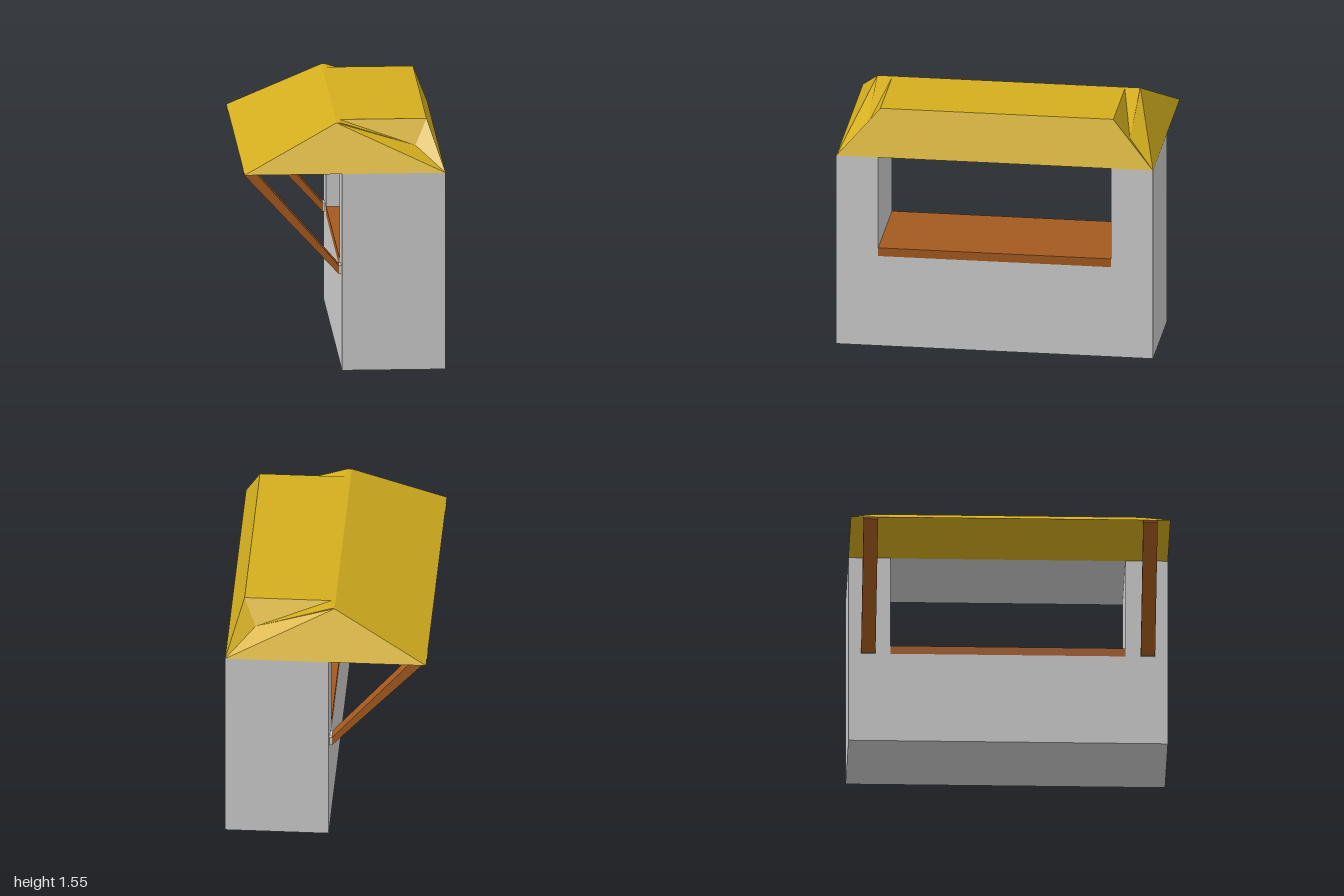
import * as THREE from 'three';

const mat = (color) => new THREE.MeshStandardMaterial({ color, flatShading: true });
const grey = mat(0xcccccc), gold = mat(0xd4ae1e), wood = mat(0xa3591e);

const BACK = -0.02, FRONT = 0.63, EAVE = 1.26, TOP = 1.55;
const SILL = 0.6, COUNTER = 0.655, OPEN = 0.735;

function add(group, name, geometry, material) {
  const mesh = new THREE.Mesh(geometry, material);
  mesh.name = name;
  group.add(mesh);
  return mesh;
}

function box(x0, x1, y0, y1, z0, z1) {
  return new THREE.BoxGeometry(x1 - x0, y1 - y0, z1 - z0)
    .translate((x0 + x1) / 2, (y0 + y1) / 2, (z0 + z1) / 2);
}

function prism(points, depth) {
  const shape = new THREE.Shape(points.map(([x, y]) => new THREE.Vector2(x, y)));
  return new THREE.ExtrudeGeometry(shape, { depth, bevelEnabled: false });
}

// Roof: one half as convex faces, mirrored across z = 0
function roofGeometry() {
  const eave = [-0.63, EAVE, 1], corner = [FRONT, EAVE, 1];
  const ridge = [-0.045, TOP, 0.83], notch = [BACK, TOP, 0.83];
  const inner = [BACK, TOP, OPEN], peak = [0.525, TOP, OPEN];
  const dip = [0.45, 1.4, 0.83], lip = [FRONT, EAVE, OPEN];
  const mid = ([x, y]) => [x, y, 0];
  const faces = [
    [mid(eave), eave, ridge, mid(ridge)],         // long slope
    [mid(ridge), ridge, notch, inner, mid(inner)], // flat top
    [mid(inner), inner, peak, mid(peak)],
    [mid(peak), peak, lip, mid(lip)],             // short slope
    [inner, notch, dip], [inner, dip, peak],      // end chamfer
    [peak, dip, corner], [peak, corner, lip],
    [eave, corner, ridge], [ridge, corner, dip], [ridge, dip, notch], // hip
    [mid(eave), mid(corner), corner, eave],       // underside
  ];
  const pos = [];
  for (const s of [1, -1]) {
    for (const f of faces) {
      for (let i = 1; i < f.length - 1; i++) {
        const tri = s > 0 ? [f[0], f[i], f[i + 1]] : [f[0], f[i + 1], f[i]];
        for (const [x, y, z] of tri) pos.push(x, y, z * s);
      }
    }
  }
  const g = new THREE.BufferGeometry();
  g.setAttribute('position', new THREE.Float32BufferAttribute(pos, 3));
  g.computeVertexNormals();
  return g;
}

export function createModel() {
  const model = new THREE.Group();
  model.name = 'marketStall';

  // Walls: U-shaped section run through the depth of the stall
  const walls = prism([
    [-1, 0], [1, 0], [1, EAVE], [OPEN, EAVE], [OPEN, SILL],
    [-OPEN, SILL], [-OPEN, EAVE], [-1, EAVE],
  ], FRONT - BACK);
  walls.rotateY(Math.PI / 2).translate(BACK, 0, 0);
  add(model, 'walls', walls, grey);

  // Ceiling over the opening
  const ceiling = new THREE.PlaneGeometry(FRONT - BACK, 2 * OPEN);
  ceiling.rotateX(Math.PI / 2).translate((BACK + FRONT) / 2, EAVE - 0.002, 0);
  add(model, 'ceiling', ceiling, grey);

  add(model, 'counter', box(BACK, FRONT, SILL, COUNTER, -OPEN, OPEN), wood);
  add(model, 'roof', roofGeometry(), gold);

  // Braces holding up the overhang
  for (const [side, z] of [['left', 0.83], ['right', -0.92]]) {
    const brace = new THREE.Group();
    brace.name = side + 'Brace';
    const beam = prism([
      [-0.035, SILL], [-0.035, COUNTER], [-0.545, 1.245],
      [-0.545, EAVE - 0.002], [-0.632, EAVE - 0.002], [-0.632, 1.245],
    ], 0.09).translate(0, 0, z);
    add(brace, 'beam', beam, wood);
    add(brace, 'wallPlate', box(-0.035, BACK, SILL, COUNTER, z, z + 0.09), grey);
    model.add(brace);
  }
  return model;
}
